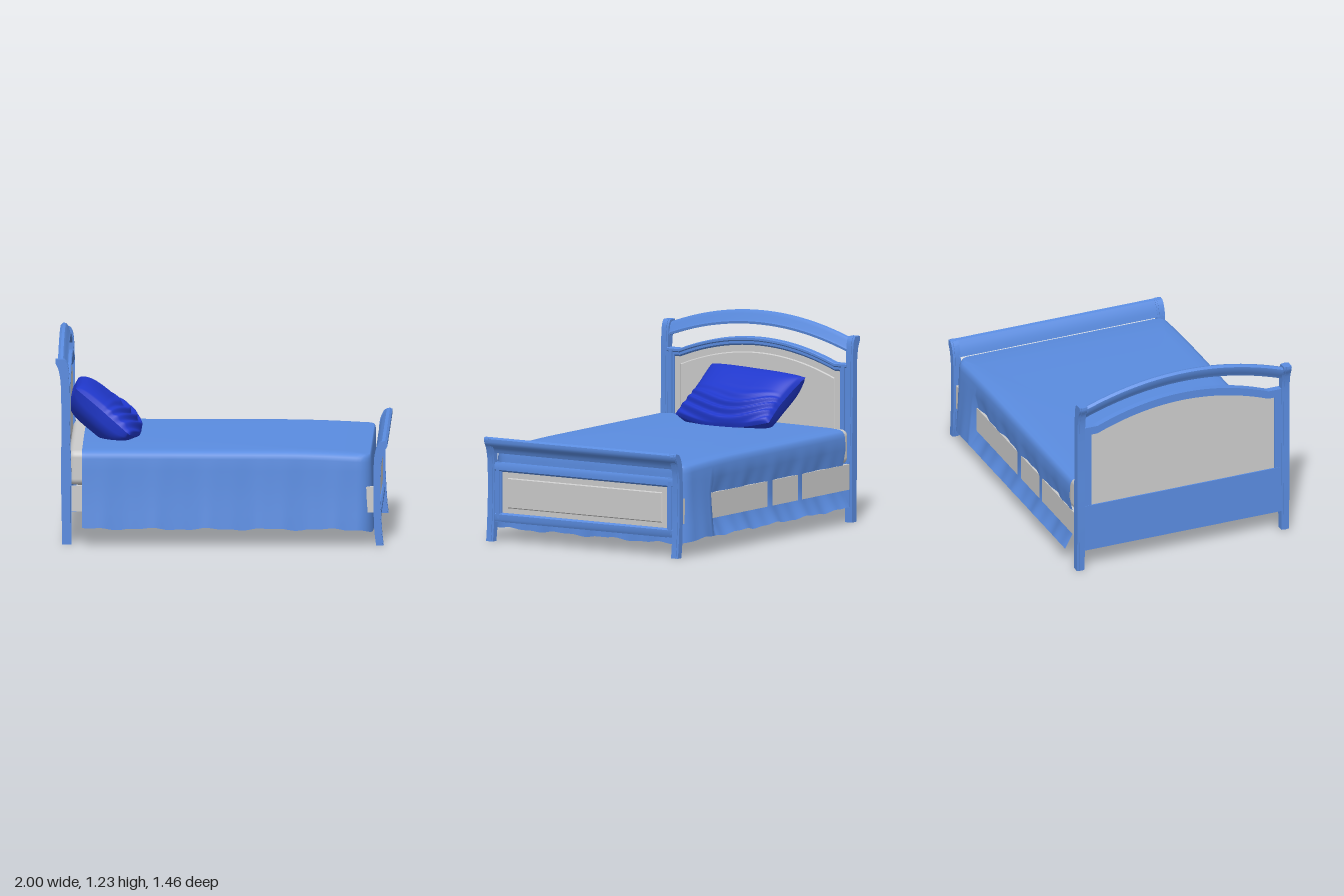
import * as THREE from 'three';
import { toCreasedNormals } from 'three/addons/utils/BufferGeometryUtils.js';
import { RoundedBoxGeometry } from 'three/addons/geometries/RoundedBoxGeometry.js';

const blue = new THREE.MeshStandardMaterial({ color: 0x5a8ce0 });
const cloth = new THREE.MeshStandardMaterial({ color: 0x5a8ce0, side: THREE.DoubleSide });
const pillowBlue = new THREE.MeshStandardMaterial({ color: 0x2038cc });
const grey = new THREE.MeshStandardMaterial({ color: 0xcccccc });

const V = ([x, y]) => new THREE.Vector2(x, y);
const polygon = points => new THREE.Shape(points.map(V));

// Extrude an (x, y) shape along z, optionally lifting it along an arch.
function sweep(shape, z0, z1, arch) {
  const g = new THREE.ExtrudeGeometry(shape, { depth: z1 - z0, steps: arch ? 58 : 1, bevelEnabled: false, curveSegments: 16 });
  g.translate(0, 0, z0);
  if (arch) {
    const p = g.attributes.position;
    for (let i = 0; i < p.count; i++) p.setY(i, p.getY(i) + arch(p.getZ(i)));
  }
  return toCreasedNormals(g, 0.6);
}

// Grid surface from a function of (i, j).
function surface(nu, nv, fn, flip = false) {
  const pos = [], idx = [];
  for (let j = 0; j <= nv; j++) for (let i = 0; i <= nu; i++) pos.push(...fn(i, j));
  for (let j = 0; j < nv; j++) for (let i = 0; i < nu; i++) {
    const a = j * (nu + 1) + i, b = a + 1, c = a + nu + 1, d = c + 1;
    if (flip) idx.push(a, b, c, b, d, c);
    else idx.push(a, c, b, b, c, d);
  }
  const g = new THREE.BufferGeometry();
  g.setAttribute('position', new THREE.Float32BufferAttribute(pos, 3));
  g.setIndex(idx);
  g.computeVertexNormals();
  return g;
}

// Curved post: rows of [y, back x, front x].
function postShape(rows, grow = 0) {
  const s = new THREE.Shape();
  const front = rows.map(([y, , f]) => V([f + grow, y]));
  const back = rows.map(([y, b]) => V([b - grow, y])).reverse();
  s.moveTo(front[0].x, front[0].y);
  s.splineThru(front.slice(1));
  s.lineTo(back[0].x, back[0].y);
  s.splineThru(back.slice(1));
  return s;
}

// Panel outline in (z, y) with a flat bottom, and an arched top if rise > 0.
function panel(half, y0, y1, rise, shoulder, x0, x1, bevel = 0) {
  const s = new THREE.Shape();
  s.moveTo(-half, y0);
  s.lineTo(half, y0);
  s.lineTo(half, y1);
  for (let i = 0; rise && i <= 32; i++) {
    const z = shoulder * (1 - i / 16);
    s.lineTo(z, y1 + rise * (1 - (z / shoulder) ** 2));
  }
  s.lineTo(-half, y1);
  s.closePath();
  const g = new THREE.ExtrudeGeometry(s, {
    depth: x1 - x0 - bevel, bevelEnabled: bevel > 0, bevelThickness: bevel, bevelSize: bevel, bevelOffset: -bevel, bevelSegments: 1,
  });
  g.rotateY(Math.PI / 2).translate(x0, 0, 0);
  return toCreasedNormals(g, 0.4);
}

export function createModel() {
  const root = new THREE.Group();
  const add = (name, geometry, material, parent = root) => {
    const m = new THREE.Mesh(geometry, material);
    m.name = name;
    parent.add(m);
    return m;
  };
  const box = (name, x0, x1, y0, y1, z0, z1, mat, parent) => {
    const g = new THREE.BoxGeometry(x1 - x0, y1 - y0, z1 - z0);
    g.translate((x0 + x1) / 2, (y0 + y1) / 2, (z0 + z1) / 2);
    add(name, g, mat, parent);
  };
  const group = name => {
    const g = new THREE.Group();
    g.name = name;
    root.add(g);
    return g;
  };
  const headboard = group('headboard'), footboard = group('footboard'), pillow = group('pillow');

  // Posts with a raised centre bead
  const headRows = [[0, -0.955, -0.908], [0.4, -0.962, -0.908], [0.7, -0.96, -0.916], [0.95, -0.963, -0.918], [1.05, -0.975, -0.922], [1.1, -0.995, -0.93], [1.125, -0.996, -0.945]];
  const footRows = [[0, 0.935, 0.972], [0.1, 0.923, 0.962], [0.3, 0.918, 0.953], [0.48, 0.92, 0.957], [0.56, 0.927, 0.972], [0.61, 0.945, 0.995], [0.632, 0.965, 0.993]];
  for (const side of [-1, 1]) {
    const c = side * 0.67;
    for (const [rows, parent, n] of [[headRows, headboard, 'headPost'], [footRows, footboard, 'footPost']]) {
      add(n, sweep(postShape(rows), c - 0.025, c + 0.025), blue, parent);
      add(n + 'Bead', sweep(postShape(rows, 0.004), c - 0.012, c + 0.012), blue, parent);
    }
  }

  // Headboard: arched top rail, arched frame, panel and lower board
  const bow = z => 0.118 * (1 - (z / 0.65) ** 2);
  add('archedTopRail', sweep(polygon([[-0.958, 1.03], [-0.928, 1.03], [-0.926, 1.045], [-0.934, 1.055], [-0.942, 1.09], [-0.955, 1.108], [-0.972, 1.112], [-0.986, 1.1], [-0.984, 1.075], [-0.966, 1.05]]),
    -0.65, 0.65, bow), blue, headboard);
  const shoulder = z => Math.abs(z) < 0.56 ? 0.11 * (1 - (z / 0.56) ** 2) : 0;
  add('archedFrameRail', sweep(polygon([[-0.956, 0.91], [-0.926, 0.91], [-0.918, 0.92], [-0.918, 0.935], [-0.911, 0.942], [-0.911, 0.955], [-0.916, 0.96], [-0.956, 0.96]]),
    -0.65, 0.65, shoulder), blue, headboard);
  for (const s of [-1, 1]) {
    const c = s * 0.625;
    box('headStile', -0.956, -0.918, 0.13, 0.94, c - 0.025, c + 0.025, blue, headboard);
    box('headStileBead', -0.925, -0.911, 0.43, 0.95, c - 0.012, c + 0.012, blue, headboard);
  }
  add('headPanel', panel(0.61, 0.43, 0.92, 0.11, 0.56, -0.95, -0.928), grey, headboard);
  add('headRaisedField', panel(0.56, 0.47, 0.87, 0.11, 0.55, -0.94, -0.922, 0.006), grey, headboard);
  box('headLowerBoard', -0.958, -0.92, 0.13, 0.43, -0.65, 0.65, blue, headboard);

  // Footboard: rolled top rail, moulded frame and panel
  add('rolledTopRail', sweep(polygon([[0.922, 0.537], [0.955, 0.537], [0.96, 0.55], [0.968, 0.568], [0.988, 0.585], [0.999, 0.605], [0.998, 0.625], [0.985, 0.636], [0.965, 0.632], [0.945, 0.605], [0.93, 0.57]]),
    -0.69, 0.69), blue, footboard);
  const moulding = [[0.92, 0.425], [0.944, 0.425], [0.954, 0.435], [0.954, 0.465], [0.948, 0.48], [0.92, 0.48]];
  add('footFrameTop', sweep(polygon(moulding), -0.65, 0.65), blue, footboard);
  add('footFrameBottom', sweep(polygon(moulding.map(([x, y]) => [x, 0.6 - y])), -0.65, 0.65), blue, footboard);
  for (const s of [-1, 1]) {
    const c = s * 0.625;
    box('footStile', 0.92, 0.949, 0.12, 0.48, c - 0.025, c + 0.025, blue, footboard);
    box('footStileBead', 0.93, 0.954, 0.14, 0.46, c - 0.012, c + 0.012, blue, footboard);
  }
  add('footPanel', panel(0.61, 0.16, 0.435, 0, 0, 0.922, 0.937), grey, footboard);
  add('footRaisedField', panel(0.56, 0.205, 0.39, 0, 0, 0.925, 0.943, 0.006), grey, footboard);

  // Side rails and the uncovered end of the mattress
  for (const s of [-1, 1]) {
    const c = s * 0.667;
    box('sideRail', -0.92, 0.92, 0.2, 0.355, c - 0.013, c + 0.013, grey);
  }
  const mattress = add('mattressEnd', new RoundedBoxGeometry(0.16, 0.21, 1.34, 4, 0.04), grey);
  mattress.position.set(-0.842, 0.46, 0);

  // Blanket: U-shaped plan path, lofted from a wavy hem up to a flat top
  const path = new THREE.Path();
  path.moveTo(-0.84, -0.685);
  path.lineTo(0.83, -0.685);
  path.absarc(0.83, -0.615, 0.07, -Math.PI / 2, 0, false);
  path.lineTo(0.9, 0.615);
  path.absarc(0.83, 0.615, 0.07, 0, Math.PI / 2, false);
  path.lineTo(-0.84, 0.685);
  const N = 200, pts = path.getSpacedPoints(N);
  // Levels: outward offset, height, inward scale
  const levels = [[0.036, 0.1, 1], [0.028, 0.19, 1], [0.02, 0.27, 1], [0.014, 0.36, 1], [0.009, 0.45, 1], [0.006, 0.52, 1], [0, 0.545, 1],
    [-0.012, 0.56, 1], [-0.035, 0.569, 1], [-0.035, 0.574, 0.9], [-0.035, 0.577, 0.5], [-0.035, 0.58, 0]];
  add('blanket', surface(N, levels.length - 1, (i, j) => {
    const [off, h, k] = levels[j], p = pts[i];
    const t = pts[Math.min(i + 1, N)].clone().sub(pts[Math.max(i - 1, 0)]).normalize();
    const hang = Math.max(0, (0.52 - h) / 0.42);
    const foot = Math.max(0, t.y);
    const wave = Math.sin(i * 0.42) + 0.6 * Math.sin(i * 0.97 + 1);
    let o = off * (1 - 0.75 * foot) + wave * 0.005 * hang;
    // The far side sags inward so the rail shows through
    if (p.y < -0.6 && p.x < 0.6 + 0.05 * wave && h > 0.15 && h < 0.4) o = -0.012 + 0.006 * wave;
    const x = -0.84 + (Math.min(p.x + t.y * o, 0.914) + 0.84) * k;
    const z = (p.y - t.x * o) * k;
    const droop = h > 0.5 ? 0.02 * Math.max(0, (x - 0.3) / 0.6) ** 2 : 0;
    const hem = j === 0 ? 0.006 * wave : 0;
    return [x, h - droop + hang * (hem - 0.022 * foot), z];
  }), cloth);

  // Pillow: cushion with pinched corners and creases, leaning on the headboard
  const M = 64;
  const cushion = front => surface(M, M, (i, j) => {
    const u = (i / M) * 2 - 1, v = (j / M) * 2 - 1; // u along z, v down the lean
    const bulge = Math.sqrt(Math.max(0, (1 - u ** 4) * (1 - v ** 4)));
    const low = THREE.MathUtils.smoothstep(v, -0.2, 0.4);
    const crease = low * 0.013 * Math.sin(v * 24 + u * u * 5 + Math.sin(u * 4));
    const n = (front ? 0.075 + crease : -0.16) * bulge;
    const s = (v + 1) / 2;
    const along = s + 0.1 * low * (1 - u * u) - 0.07 * low * u * u;
    const x = -0.885 + 0.345 * along + 0.63 * n;
    const y = 0.875 - 0.275 * along + 0.77 * n + 0.015 * u * (1 - s);
    const z = u * (0.32 + 0.02 * v * v) - 0.035 + 0.05 * s;
    return [Math.max(x, -0.918), Math.max(y, 0.565), z];
  }, front);
  add('pillowFront', cushion(true), pillowBlue, pillow);
  add('pillowBack', cushion(false), pillowBlue, pillow);
  return root;
}
